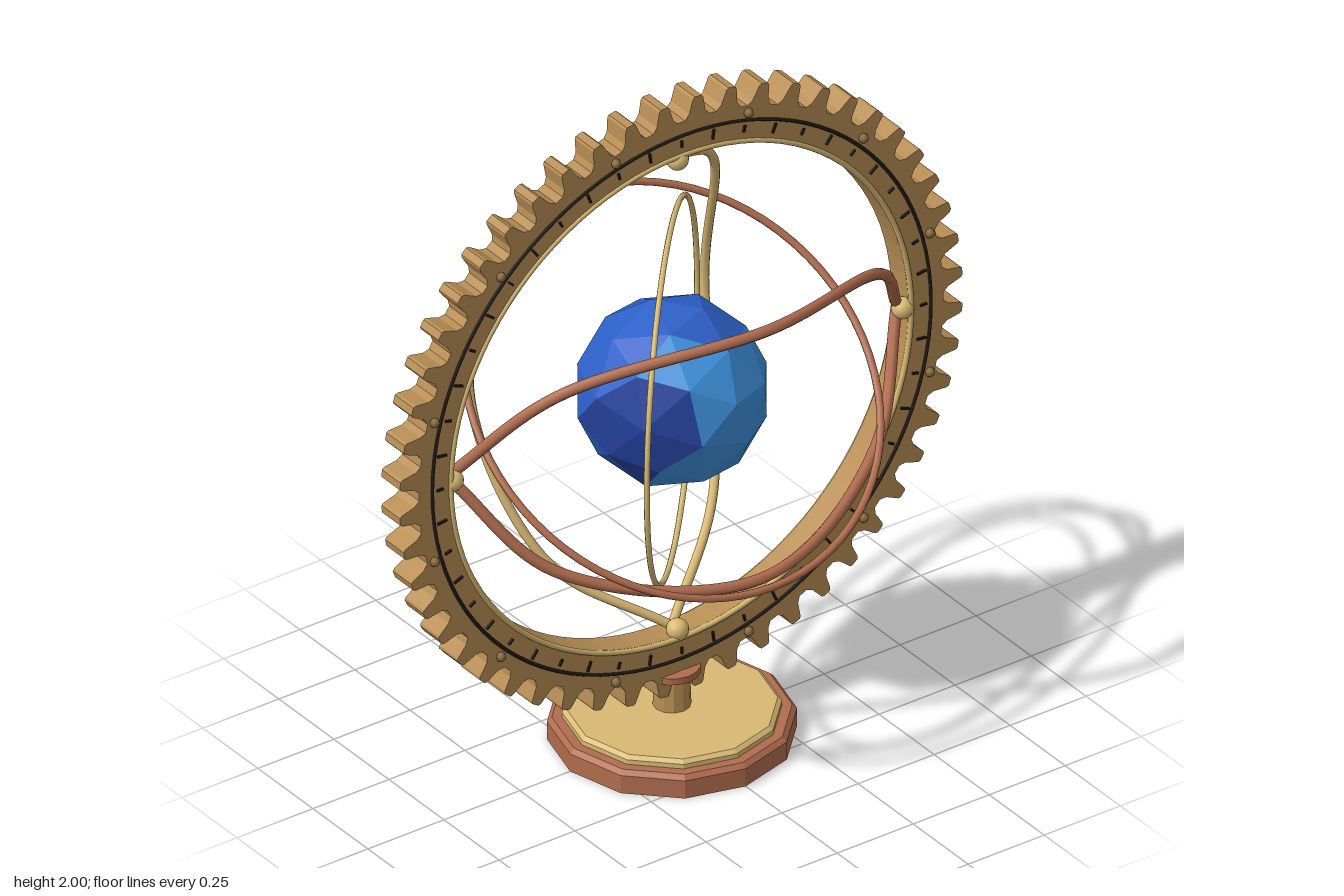
import * as THREE from 'three';

const CY = 1.075; // height of the ring centre

function mat(name, color, flatShading = false) {
  const m = new THREE.MeshStandardMaterial({ color });
  m.name = name;
  m.flatShading = flatShading;
  return m;
}

export function createModel() {
  const model = new THREE.Group();
  const bronze = mat('bronze', 0xb98f56, true);
  const gold = mat('gold', 0xd9ba74);
  const copper = mat('copper', 0xb06c4e);
  const black = mat('black', 0x1f1915);
  const darkBronze = mat('dark bronze', 0x86693f);
  const ocean = mat('deep blue', 0x2d60c8, true);
  const sky = mat('light blue', 0x3d8fda, true);
  const navy = mat('navy blue', 0x24409a, true);

  const add = (name, geometry, material, x = 0, y = 0, z = 0, parent = model) => {
    const mesh = new THREE.Mesh(geometry, material);
    mesh.name = name;
    mesh.position.set(x, y, z);
    parent.add(mesh);
    return mesh;
  };

  // Stand: stepped twelve-sided foot, post and collar
  const facetedLathe = (pts, n) => {
    const g = new THREE.LatheGeometry(pts.map(p => new THREE.Vector2(...p)), n).toNonIndexed();
    g.computeVertexNormals();
    return g;
  };
  add('foot', facetedLathe([[0, 0], [0.335, 0], [0.335, 0.055], [0.322, 0.068], [0, 0.068]], 12), copper);
  add('footPlate', facetedLathe([[0.295, 0.066], [0.295, 0.082], [0.283, 0.092], [0, 0.092]], 12), gold);
  add('post', new THREE.CylinderGeometry(0.048, 0.052, 0.13, 12), bronze, 0, 0.15);
  add('collar', new THREE.CylinderGeometry(0.077, 0.077, 0.02, 16), copper, 0, 0.205);

  // Large toothed ring
  const teeth = 52, pitch = Math.PI * 2 / teeth;
  const outline = [];
  for (let i = 0; i < teeth; i++) {
    const a = (i + 0.5) * pitch;
    for (const [t, r] of [[-0.38, 0.862], [-0.25, 0.878], [-0.15, 0.92], [-0.1, 0.926], [0.1, 0.926], [0.15, 0.92], [0.25, 0.878], [0.38, 0.862]]) {
      outline.push(new THREE.Vector2(r * Math.cos(a + t * pitch), r * Math.sin(a + t * pitch)));
    }
  }
  const gearShape = new THREE.Shape(outline);
  gearShape.holes.push(new THREE.Path().absarc(0, 0, 0.752, 0, Math.PI * 2, true));
  const gear = new THREE.ExtrudeGeometry(gearShape, { depth: 0.084, bevelEnabled: false, curveSegments: 48 });
  add('gearRing', gear, bronze, 0, CY, -0.042);

  // Thin gold beads along the inner edges of the ring
  add('frontBead', new THREE.TorusGeometry(0.757, 0.008, 8, 96), gold, 0, CY, 0.04);
  add('backBead', new THREE.TorusGeometry(0.765, 0.009, 8, 96), gold, 0, CY, -0.045);

  // Dial: dark circle, tick marks and rivets on the front face
  const dial = new THREE.Group();
  dial.name = 'dial';
  dial.position.set(0, CY, 0);
  model.add(dial);
  add('dialLine', new THREE.TorusGeometry(0.82, 0.005, 6, 96), black, 0, 0, 0.044, dial);
  for (let i = 0; i < 48; i++) {
    const a = i * Math.PI / 24;
    const tick = add('tick', new THREE.BoxGeometry(i % 2 ? 0.03 : 0.02, 0.006, 0.008), black,
      0.795 * Math.cos(a), 0.795 * Math.sin(a), 0.044, dial);
    tick.rotation.z = a;
  }
  for (let i = 0; i < 12; i++) {
    const a = (i + 0.5) * Math.PI / 6;
    add('rivet', new THREE.SphereGeometry(0.014, 8, 6), darkBronze,
      0.843 * Math.cos(a), 0.843 * Math.sin(a), 0.047, dial);
  }

  // Pivot balls
  for (const [x, y] of [[0.74, 0], [-0.74, 0], [0, 0.738], [0, -0.738]]) {
    add('pivotBall', new THREE.SphereGeometry(0.031, 14, 10), gold, x, CY + y, 0.025);
  }

  // Bowed half-hoops from pivot to pivot, pointed at the ends
  const bow = (name, place, radius, material) => {
    const pts = [];
    for (let i = 0; i <= 4; i++) {
      const a = i / 4 * Math.PI;
      pts.push(place(0.74 * Math.cos(a), Math.sin(a)));
    }
    add(name, new THREE.TubeGeometry(new THREE.CatmullRomCurve3(pts), 64, radius, 8), material, 0, CY, 0);
  };
  for (const s of [1, -1]) {
    bow('copperBow', (u, k) => new THREE.Vector3(u, s * 0.395 * k, (s > 0 ? 0.42 : 0.395) * k * k), 0.016, copper);
    bow('goldBow', (u, k) => new THREE.Vector3(s * 0.4 * k, u, (s > 0 ? -0.405 : -0.37) * k * k), 0.013, gold);
  }

  // Tilted full hoops
  const copperHoop = add('copperHoop', new THREE.TorusGeometry(0.6, 0.011, 8, 72), copper, 0, CY, 0);
  copperHoop.rotation.x = -Math.atan2(0.46, 0.385);
  const goldHoop = add('goldHoop', new THREE.TorusGeometry(0.522, 0.008, 8, 72), gold, 0, CY, 0);
  goldHoop.rotation.y = Math.PI / 4 + 0.03;

  // Faceted globe: light front patch, navy at the front right, deep blue elsewhere
  const globe = new THREE.IcosahedronGeometry(0.266, 1);
  globe.rotateZ(0.35).rotateX(0.25).rotateY(0.3);
  const p = globe.attributes.position;
  for (let i = 0; i < p.count; i += 3) {
    const mid = get => (get(i) + get(i + 1) + get(i + 2)) / 3;
    const x = mid(j => p.getX(j)), y = mid(j => p.getY(j)), z = mid(j => p.getZ(j));
    const isNavy = 0.5 * z - 0.85 * x > 0.205;
    const isSky = z + 0.2 * x > 0.085 && Math.abs(y) < 0.19;
    globe.addGroup(i, 3, isNavy ? 2 : isSky ? 1 : 0);
  }
  add('globe', globe, [ocean, sky, navy], 0, CY, 0);

  return model;
}
